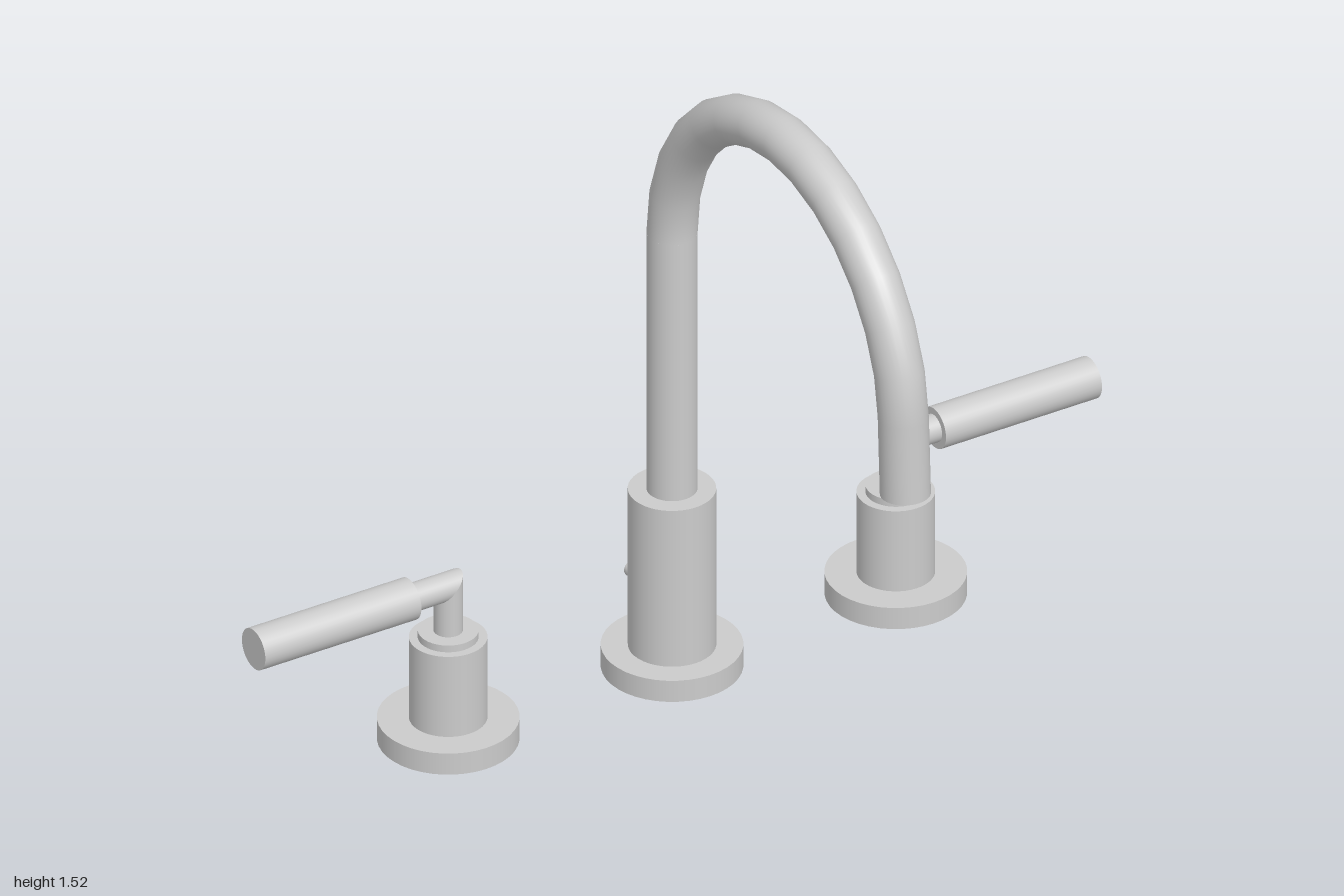
import * as THREE from 'three';

const material = new THREE.MeshStandardMaterial({ color: 0xcccccc, side: THREE.DoubleSide });
const AXIS_Z = -0.395;

function add(parent, name, geometry, x = 0, y = 0, z = 0) {
  const mesh = new THREE.Mesh(geometry, material);
  mesh.name = name;
  mesh.position.set(x, y, z);
  parent.add(mesh);
  return mesh;
}

// Upright cylinder standing between two heights
function post(parent, name, radius, y0, y1, z = 0) {
  return add(parent, name, new THREE.CylinderGeometry(radius, radius, y1 - y0, 40), 0, (y0 + y1) / 2, z);
}

// Cylinder along x between two positions
function bar(radius, x0, x1, open = false) {
  return new THREE.CylinderGeometry(radius, radius, x1 - x0, 32, 1, open)
    .rotateZ(-Math.PI / 2).translate((x0 + x1) / 2, 0, 0);
}

// Lever handle pointing along +x
function createHandle(name) {
  const g = new THREE.Group();
  g.name = name;
  post(g, 'handleFlange', 0.145, 0, 0.05);
  post(g, 'handleBody', 0.08, 0.05, 0.24);
  post(g, 'handleCollar', 0.062, 0.24, 0.256);

  // Stem and arm, each cut at 45 degrees where they meet
  const r = 0.03, armY = 0.36, stemBase = 0.25;
  const stem = new THREE.CylinderGeometry(r, r, armY - stemBase, 32, 1, true)
    .translate(0, (stemBase - armY) / 2, 0);
  const sp = stem.attributes.position;
  for (let i = 0; i < sp.count; i++) if (sp.getY(i) > -0.01) sp.setY(i, -sp.getX(i));
  add(g, 'handleStem', stem, 0, armY);

  const arm = bar(r, 0, 0.1, true);
  const ap = arm.attributes.position;
  for (let i = 0; i < ap.count; i++) if (ap.getX(i) < 0.01) ap.setX(i, -ap.getY(i));
  add(g, 'handleArm', arm, 0, armY);

  add(g, 'handleGrip', bar(0.045, 0.092, 0.465), 0, armY);
  return g;
}

function createSpout() {
  const g = new THREE.Group();
  g.name = 'spout';
  post(g, 'spoutFlange', 0.145, 0, 0.05);
  post(g, 'spoutBody', 0.09, 0.05, 0.42);

  // Gooseneck: riser, arc and a slightly splayed outlet
  const R = 0.443, r = 0.052, yc = 1.027, splay = 0.045, tail = 0.177;
  post(g, 'riser', r, 0.42, yc);
  const arc = new THREE.TorusGeometry(R, r, 32, 14, Math.PI - splay).rotateY(Math.PI / 2);
  add(g, 'gooseneck', arc, 0, yc, R);
  const outlet = add(g, 'outlet', new THREE.CylinderGeometry(r, r, tail, 32), 0,
    yc + R * Math.sin(splay) - Math.cos(splay) * tail / 2,
    R + R * Math.cos(splay) + Math.sin(splay) * tail / 2);
  outlet.rotation.x = -splay;

  // Drain lift rod with its knob behind the body
  post(g, 'liftRod', 0.012, 0.05, 0.15, -0.092);
  add(g, 'liftKnob', new THREE.CylinderGeometry(0.018, 0.018, 0.075, 20).rotateX(Math.PI / 2), 0, 0.15, -0.1175);
  return g;
}

export function createModel() {
  const model = new THREE.Group();
  model.name = 'widespreadFaucet';

  const spout = createSpout();
  spout.position.z = AXIS_Z;
  model.add(spout);

  for (const side of [1, -1]) {
    const handle = createHandle(side > 0 ? 'leftHandle' : 'rightHandle');
    handle.position.set(side * 0.535, 0, AXIS_Z);
    if (side < 0) handle.rotation.y = Math.PI;
    model.add(handle);
  }
  return model;
}
